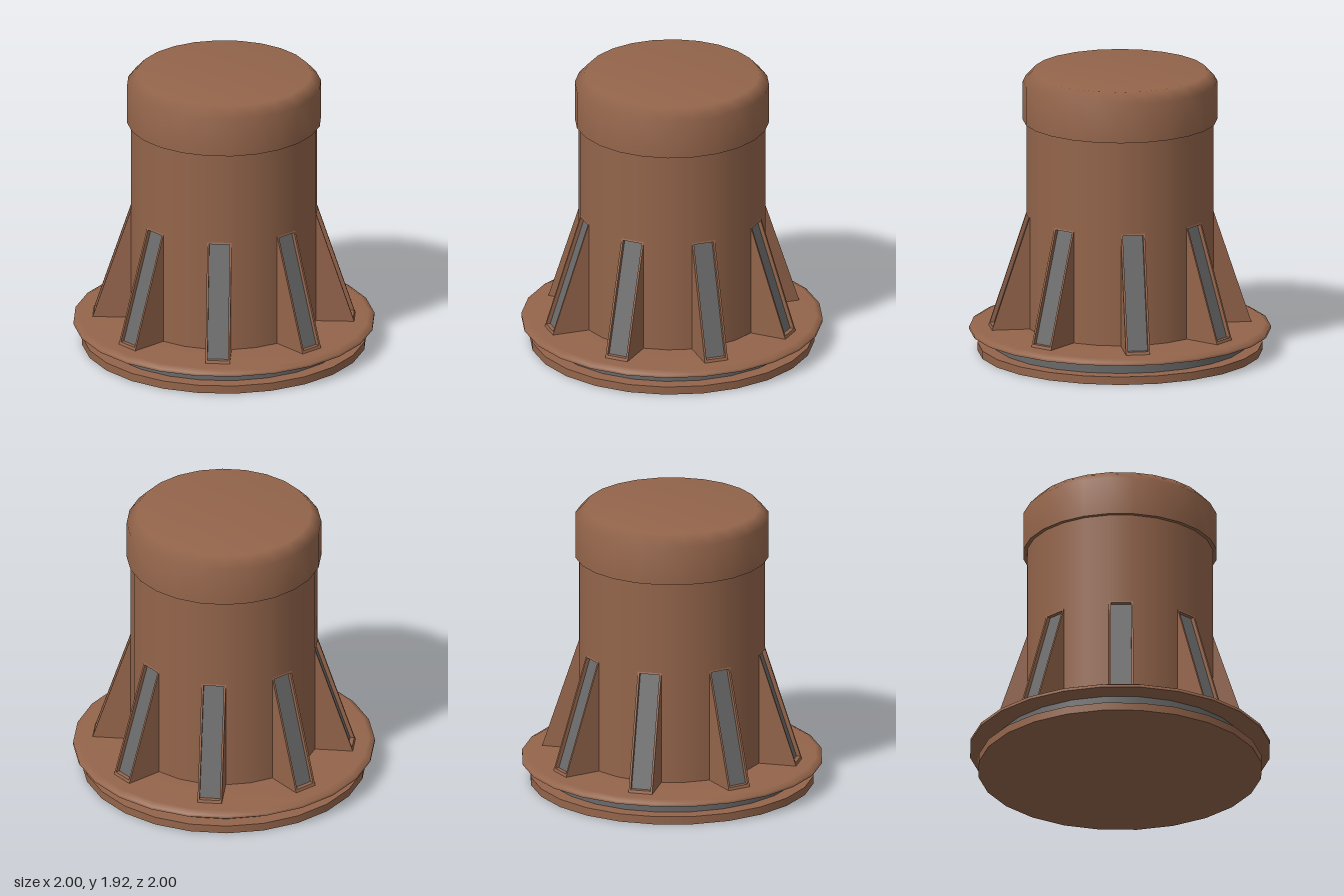
import * as THREE from 'three';
import { mergeGeometries } from 'three/addons/utils/BufferGeometryUtils.js';

const SIDES = 24;
const STEP = (Math.PI * 2) / SIDES;
const APO = Math.cos(STEP / 2); // flat-to-flat radius / corner radius

const brown = new THREE.MeshStandardMaterial({ color: 0x94654b });
brown.name = 'brown';
const grey = new THREE.MeshStandardMaterial({ color: 0x696969 });
grey.name = 'grey';

// Revolved part; each profile [radius, y] runs outward/upward, with sharp edges between profiles
function revolve(name, material, ...profiles) {
  const parts = profiles.map((p) => new THREE.LatheGeometry(
    p.map(([r, y]) => new THREE.Vector2(r / APO, y)), SIDES, STEP / 2));
  const mesh = new THREE.Mesh(mergeGeometries(parts), material);
  mesh.name = name;
  return mesh;
}

// Fin dimensions: the outer face slopes from the body wall down to the flange
const BODY_R = 0.62, FIN_TOP = 0.955, FIN_BOTTOM = 0.185, FIN_FOOT = 0.875;
const HALF = BODY_R * Math.tan(STEP / 2);
const RECESS = 0.03;
const slopeZ = (y) => BODY_R + ((FIN_FOOT - BODY_R) * (FIN_TOP - y)) / (FIN_TOP - FIN_BOTTOM);

function rect(Type, w, y0, y1) {
  const s = new Type();
  s.moveTo(-w, y0);
  s.lineTo(w, y0);
  s.lineTo(w, y1);
  s.lineTo(-w, y1);
  s.closePath();
  return s;
}

// Move vertices by a rule z = f(y, z)
function shear(geo, f) {
  const p = geo.attributes.position;
  for (let i = 0; i < p.count; i++) p.setZ(i, f(p.getY(i), p.getZ(i)));
  geo.computeVertexNormals();
  return geo;
}

function makeFin() {
  const fin = new THREE.Group();
  fin.name = 'fin';
  const add = (name, geo, mat) => {
    const m = new THREE.Mesh(geo, mat);
    m.name = name;
    fin.add(m);
  };

  // Raised rim around the recess
  const rim = rect(THREE.Shape, HALF, FIN_BOTTOM, FIN_TOP);
  rim.holes.push(rect(THREE.Path, 0.068, 0.204, 0.944));
  add('finRim', shear(new THREE.ExtrudeGeometry(rim, { depth: RECESS, bevelEnabled: false }),
    (y, z) => slopeZ(y) - RECESS + z), brown);

  // Solid wedge behind the rim
  const core = new THREE.ExtrudeGeometry(rect(THREE.Shape, HALF, FIN_BOTTOM, FIN_TOP),
    { depth: 1, bevelEnabled: false });
  add('finCore', shear(core, (y, z) => (z > 0.5 ? slopeZ(y) - RECESS : 0.5)), brown);

  // Grey panel on the recess floor
  const panel = new THREE.ShapeGeometry(rect(THREE.Shape, 0.068, 0.204, 0.944));
  add('finPanel', shear(panel, (y) => slopeZ(y) - RECESS + 0.002), grey);
  return fin;
}

export function createModel() {
  const model = new THREE.Group();
  model.name = 'finnedPlug';

  // Base, seal ring and flange
  model.add(revolve('basePlate', brown,
    [[0, 0], [0.945, 0]], [[0.945, 0], [0.945, 0.055]], [[0.945, 0.055], [0.8, 0.055]]));
  model.add(revolve('sealRing', grey, [[0.85, 0.055], [0.85, 0.145]]));
  model.add(revolve('flange', brown,
    [[0.8, 0.145], [1, 0.145]], [[1, 0.145], [1, 0.165], [0.96, 0.185], [0.6, 0.185]]));

  // Upper body and cap
  model.add(revolve('upperBody', brown, [[BODY_R, FIN_TOP], [BODY_R, 1.6]]));
  model.add(revolve('cap', brown,
    [[0.6, 1.59], [0.645, 1.59]],
    [[0.645, 1.59], [0.645, 1.855], [0.58, 1.925], [0, 1.925]]));

  // Lower body walls between the fins, and the fins themselves
  const height = FIN_TOP - FIN_BOTTOM;
  const wallGeo = new THREE.CylinderGeometry(BODY_R / APO, BODY_R / APO, height, 2, 1, true,
    STEP / 2, STEP * 2);
  for (let i = 0; i < 8; i++) {
    const angle = (i * Math.PI) / 4;
    const wall = new THREE.Mesh(wallGeo, brown);
    wall.name = 'lowerBodyWall';
    wall.position.y = FIN_BOTTOM + height / 2;
    wall.rotation.y = angle;
    const fin = makeFin();
    fin.rotation.y = angle;
    model.add(wall, fin);
  }
  return model;
}
